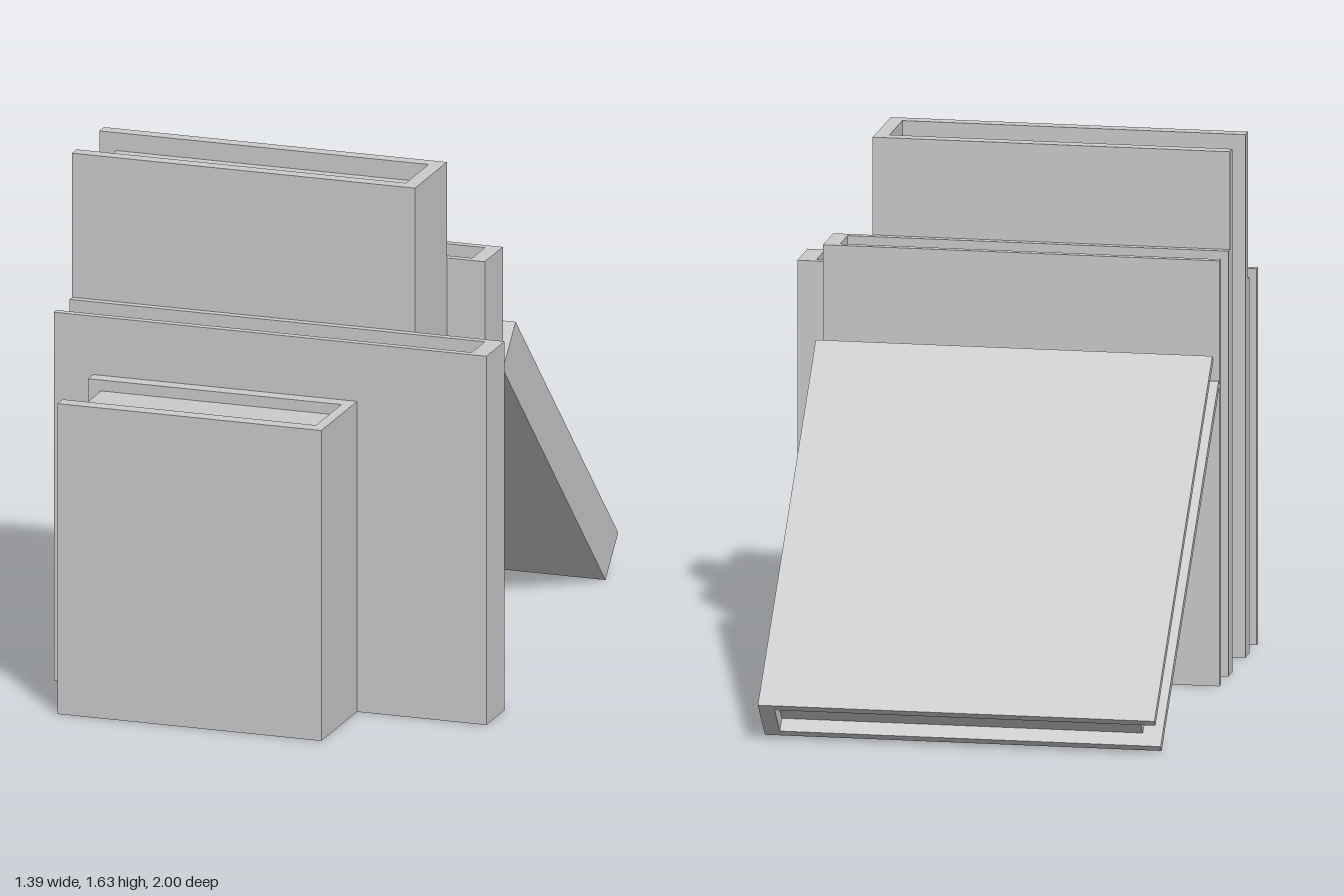
import * as THREE from 'three';

const material = new THREE.MeshStandardMaterial({ color: 0xcccccc, flatShading: true });

// A book standing on y = 0: spine at x1, open fore-edge at x0, centred on z = 0
function makeBook(name, x0, x1, thickness, height) {
  const book = new THREE.Group();
  book.name = name;
  const width = x1 - x0;
  const half = thickness / 2;
  const inner = half - thickness * 0.145; // inside face of each cover board
  const spine = x1 - width * 0.04;        // inside face of the spine
  const fore = x0 + width * 0.05;         // fore-edge of the pages
  const inset = height * 0.035;           // pages stop short of top and bottom

  // Cover: U-shaped section raised to the full height
  const section = new THREE.Shape([
    [x0, -half], [x1, -half], [x1, half], [x0, half],
    [x0, inner], [spine, inner], [spine, -inner], [x0, -inner],
  ].map(([x, z]) => new THREE.Vector2(x, z)));
  const coverGeometry = new THREE.ExtrudeGeometry(section, { depth: height, bevelEnabled: false });
  coverGeometry.rotateX(-Math.PI / 2);
  const cover = new THREE.Mesh(coverGeometry, material);
  cover.name = 'cover';

  // Page block
  const pages = new THREE.Mesh(
    new THREE.BoxGeometry(spine - fore, height - 2 * inset, 2 * inner), material);
  pages.name = 'pages';
  pages.position.set((fore + spine) / 2, height / 2, 0);

  book.add(cover, pages);
  return book;
}

export function createModel() {
  const model = new THREE.Group();
  model.name = 'books';

  // Upright row, front to back: name, x0, x1, back z, front z, height
  const row = [
    ['smallBook', -0.57, 0.28, 0.675, 1.0, 0.985],
    ['wideBook', -0.697, 0.697, 0.508, 0.675, 1.17],
    ['tallBook', -0.697, 0.408, 0.217, 0.508, 1.627],
    ['rearBook', -0.697, 0.53, 0.052, 0.217, 1.323],
  ];
  for (const [name, x0, x1, z0, z1, height] of row) {
    const book = makeBook(name, x0, x1, z1 - z0, height);
    book.position.z = (z0 + z1) / 2;
    model.add(book);
  }

  // Book leaning at 45 degrees against the back of the row
  const thickness = 0.165;
  const leaning = makeBook('leaningBook', -0.697, 0.53, thickness, 1.323);
  const shift = (thickness / 2) * Math.SQRT1_2;
  leaning.rotation.x = Math.PI / 4;
  leaning.position.set(0, shift, -1 + shift);
  model.add(leaning);

  return model;
}
